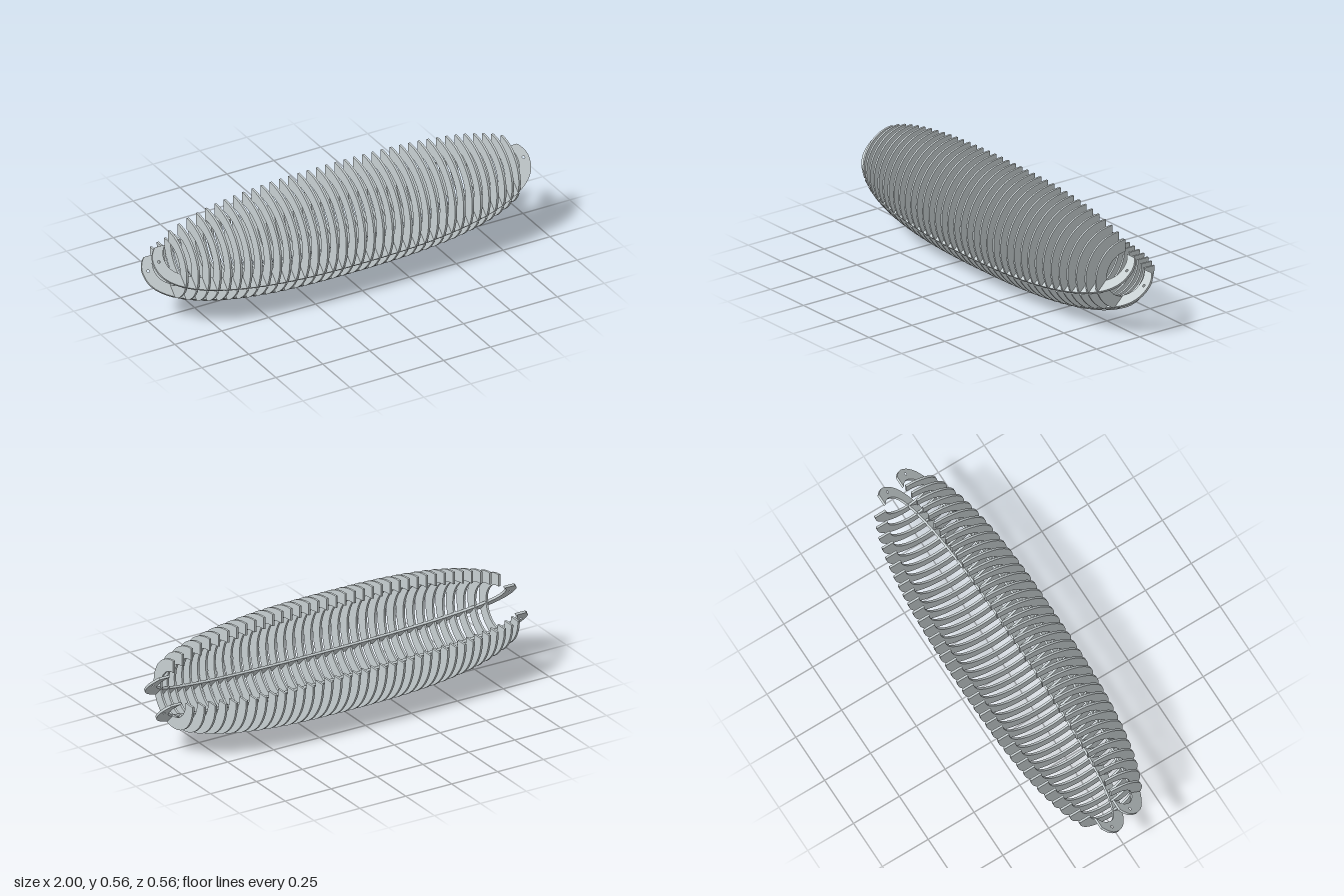
import * as THREE from 'three';
import { toCreasedNormals } from 'three/addons/utils/BufferGeometryUtils.js';

const CENTER_Y = 0.28;
const FIN_COUNT = 37, FIN_SPACING = 0.0492, FIN_THICKNESS = 0.0105, FIN_BAND = 0.06;
const RAIL_THICKNESS = 0.0115, RAIL_OFFSET = 0.07, RAIL_TIP = 0.07;
const SLOT_HALF = 0.006, SLOT_ANGLE = Math.PI * 1.25;

// Centred extrusion with smooth rims and sharp edges
function extrude(shape, depth) {
  const geometry = new THREE.ExtrudeGeometry(shape, { depth, bevelEnabled: false, curveSegments: 32 });
  geometry.translate(0, 0, -depth / 2);
  return toCreasedNormals(geometry, 0.5);
}

// Three-quarter ring, open at the upper back, slotted from outside for the rails
function finGeometry(radius) {
  const shape = new THREE.Shape();
  const innerRadius = radius - FIN_BAND;
  const slotRadius = radius - FIN_BAND / 2;
  const angleAt = (offset) => SLOT_ANGLE - Math.asin(offset / radius);
  let start = Math.PI / 2;
  for (const offset of [RAIL_OFFSET, -RAIL_OFFSET]) {
    const depth = Math.sqrt(slotRadius ** 2 - RAIL_OFFSET ** 2);
    const walls = [offset + SLOT_HALF, offset - SLOT_HALF];
    shape.absarc(0, 0, radius, start, angleAt(walls[0]), false);
    for (const wall of walls) {
      shape.lineTo(-(depth + wall) * Math.SQRT1_2, (wall - depth) * Math.SQRT1_2);
    }
    start = angleAt(walls[1]);
  }
  shape.absarc(0, 0, radius, start, Math.PI * 2, false);
  shape.absarc(0, 0, innerRadius, Math.PI * 2, Math.PI / 2, true);
  shape.closePath();
  return extrude(shape, FIN_THICKNESS).rotateY(Math.PI / 2);
}

// Superelliptic bow from the right tip down and round to the left tip
function bowPoints(halfLength, depth, tipExponent) {
  const start = Math.asin(Math.pow(RAIL_TIP / depth, tipExponent / 2));
  const points = [];
  const steps = 96;
  for (let i = 0; i <= steps; i++) {
    const t = start - (i / steps) * (Math.PI + 2 * start);
    const c = Math.cos(t), s = Math.sin(t);
    const power = 2 / (s > 0 ? tipExponent : 2.4);
    points.push(new THREE.Vector2(
      halfLength * Math.sign(c) * Math.pow(Math.abs(c), power),
      depth * Math.sign(s) * Math.pow(Math.abs(s), power)
    ));
  }
  return points;
}

// Crescent rail with a bolt hole at each tip
function railGeometry() {
  const outer = bowPoints(1, 0.27, 2);
  const inner = bowPoints(0.942, 0.198, 2.4).reverse();
  const shape = new THREE.Shape([...outer, ...inner]);
  for (const side of [-1, 1]) {
    const hole = new THREE.Path();
    hole.absarc(side * 0.972, 0, 0.0065, 0, Math.PI * 2, true);
    shape.holes.push(hole);
  }
  return extrude(shape, RAIL_THICKNESS);
}

export function createModel() {
  const model = new THREE.Group();
  model.name = 'ribbedShade';
  const grey = new THREE.MeshStandardMaterial({ color: 0xc8d0d2 });
  grey.name = 'paleGrey';

  // Row of fins following a swollen barrel profile
  const fins = new THREE.Group();
  fins.name = 'fins';
  for (let i = 0; i < FIN_COUNT; i++) {
    const x = (i - (FIN_COUNT - 1) / 2) * FIN_SPACING;
    const radius = 0.28 * Math.pow(1 - Math.pow(Math.abs(x), 2.6), 1 / 2.6);
    const fin = new THREE.Mesh(finGeometry(radius), grey);
    fin.name = 'fin';
    fin.position.set(x, CENTER_Y, 0);
    fins.add(fin);
  }
  model.add(fins);

  // Two parallel rails tilted forward through the fins
  const railShape = railGeometry();
  for (const [name, side] of [['upperRail', 1], ['lowerRail', -1]]) {
    const rail = new THREE.Mesh(railShape, grey);
    const shift = side * RAIL_OFFSET * Math.SQRT1_2;
    rail.name = name;
    rail.rotation.x = -Math.PI / 4;
    rail.position.set(0, CENTER_Y + shift, shift);
    model.add(rail);
  }
  return model;
}
